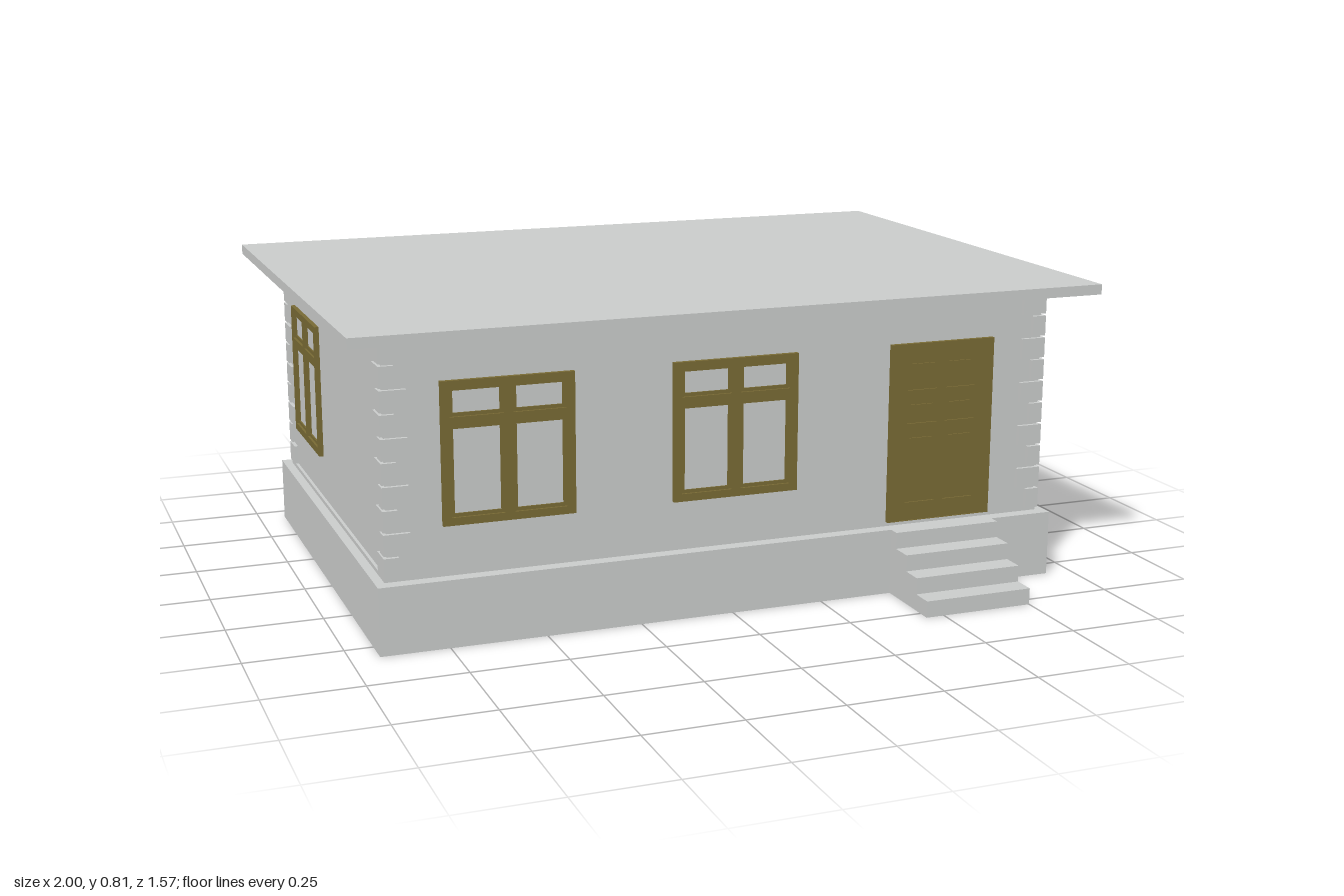
import * as THREE from 'three';

const plaster = new THREE.MeshStandardMaterial({ color: 0xcacccb });
plaster.name = 'plaster grey';
const wood = new THREE.MeshStandardMaterial({ color: 0x786a34 });
wood.name = 'brown wood';

// Box given by its limits on each axis
function block(name, material, [x0, x1], [y0, y1], [z0, z1]) {
  const mesh = new THREE.Mesh(new THREE.BoxGeometry(x1 - x0, y1 - y0, z1 - z0), material);
  mesh.position.set((x0 + x1) / 2, (y0 + y1) / 2, (z0 + z1) / 2);
  mesh.name = name;
  return mesh;
}

function rect(target, [x0, x1, y0, y1]) {
  target.moveTo(x0, y0);
  target.lineTo(x1, y0);
  target.lineTo(x1, y1);
  target.lineTo(x0, y1);
  target.closePath();
  return target;
}

// Flat board with rectangular openings, facing +z
function board(name, outline, openings, depth) {
  const shape = rect(new THREE.Shape(), outline);
  openings.forEach((o) => shape.holes.push(rect(new THREE.Path(), o)));
  const geometry = new THREE.ExtrudeGeometry(shape, { depth, bevelEnabled: false });
  const mesh = new THREE.Mesh(geometry, wood);
  mesh.name = name;
  return mesh;
}

const inset = ([x0, x1, y0, y1], d) => [x0 + d, x1 - d, y0 + d, y1 - d];

// Casement window: frame, four sashes and glass, centred on x, sill at y = 0
function createWindow() {
  const group = new THREE.Group();
  group.name = 'window';
  const panes = [];
  for (const [x0, x1] of [[-0.148, -0.012], [0.012, 0.148]]) {
    panes.push([x0, x1, 0.02, 0.25], [x0, x1, 0.272, 0.345]);
  }
  group.add(board('windowFrame', [-0.17, 0.17, 0, 0.362], panes, 0.012));
  for (const pane of panes) {
    group.add(board('sash', pane, [inset(pane, 0.009)], 0.006));
    const [x0, x1, y0, y1] = pane;
    group.add(block('pane', plaster, [x0, x1], [y0, y1], [0, 0.002]));
  }
  return group;
}

// Six-panel door
function createDoor() {
  const group = new THREE.Group();
  group.name = 'door';
  group.add(block('doorLeaf', wood, [-0.15, 0.15], [0, 0.48], [0, 0.004]));
  const panels = [];
  for (const [x0, x1] of [[-0.1, -0.012], [0.012, 0.1]]) {
    for (const [y0, y1] of [[0.05, 0.235], [0.265, 0.325], [0.355, 0.435]]) {
      panels.push([x0, x1, y0, y1]);
    }
  }
  group.add(board('doorRails', [-0.13, 0.13, 0, 0.46], panels, 0.009));
  for (const p of panels) {
    const [x0, x1, y0, y1] = inset(p, 0.01);
    group.add(block('doorPanel', wood, [x0, x1], [y0, y1], [0.003, 0.008]));
  }
  const casing = board('doorCasing', [-0.15, 0.15, 0, 0.48], [[-0.13, 0.13, 0.001, 0.46]], 0.012);
  group.add(casing);
  return group;
}

export function createModel() {
  const house = new THREE.Group();
  house.name = 'house';

  const wallX = 0.895, front = 0.54, back = -0.655;
  const wallBottom = 0.175, wallTop = 0.786;

  // Main masses
  house.add(block('foundation', plaster, [-0.927, 0.927], [0, wallBottom], [-0.69, 0.575]));
  house.add(block('walls', plaster, [-wallX, wallX], [wallBottom, wallTop], [back, front]));
  house.add(block('roofSlab', plaster, [-1, 1], [0.785, 0.812], [-0.785, 0.663]));

  // Entrance steps
  for (let i = 0; i < 4; i++) {
    const height = (wallBottom / 4) * (i + 1);
    const z0 = i === 3 ? 0.57 : 0.725 - i * 0.06;
    house.add(block('step', plaster, [0.45, 0.75], [0, height], [z0, 0.785 - i * 0.06]));
  }

  // Alternating corner stones
  const rows = 10, pitch = 0.0595, proud = 0.01;
  for (const sx of [-1, 1]) {
    for (const sz of [-1, 1]) {
      const cx = sx * (wallX + proud);
      const cz = sz > 0 ? front + proud : back - proud;
      for (let i = 0; i < rows; i++) {
        const lx = i % 2 ? 0.068 : 0.038;
        const lz = i % 2 ? 0.038 : 0.07;
        const y = 0.185 + i * pitch;
        const xs = [cx, cx - sx * lx].sort((a, b) => a - b);
        const zs = [cz, cz - sz * lz].sort((a, b) => a - b);
        house.add(block('cornerStone', plaster, xs, [y, y + pitch - 0.006], zs));
      }
    }
  }

  // Thin bands along the top and bottom of the side and back walls
  for (const [y0, y1] of [[wallBottom, 0.186], [0.774, 0.785]]) {
    for (const s of [-1, 1]) {
      const xs = s > 0 ? [wallX - 0.01, wallX + 0.008] : [-wallX - 0.008, -wallX + 0.01];
      house.add(block('sideBand', plaster, xs, [y0, y1], [back, front]));
    }
    house.add(block('backBand', plaster, [-wallX, wallX], [y0, y1], [back - 0.008, back + 0.01]));
  }

  // Windows: two in front, one on each side
  const sill = 0.305, sideZ = -0.378;
  const places = [
    [-0.585, front, 0],
    [0.015, front, 0],
    [wallX, sideZ, Math.PI / 2],
    [-wallX, sideZ, -Math.PI / 2],
  ];
  for (const [x, z, turn] of places) {
    const w = createWindow();
    w.position.set(x, sill, z);
    w.rotation.y = turn;
    house.add(w);
  }

  const door = createDoor();
  door.position.set(0.6, 0.187, front);
  house.add(door);

  return house;
}
